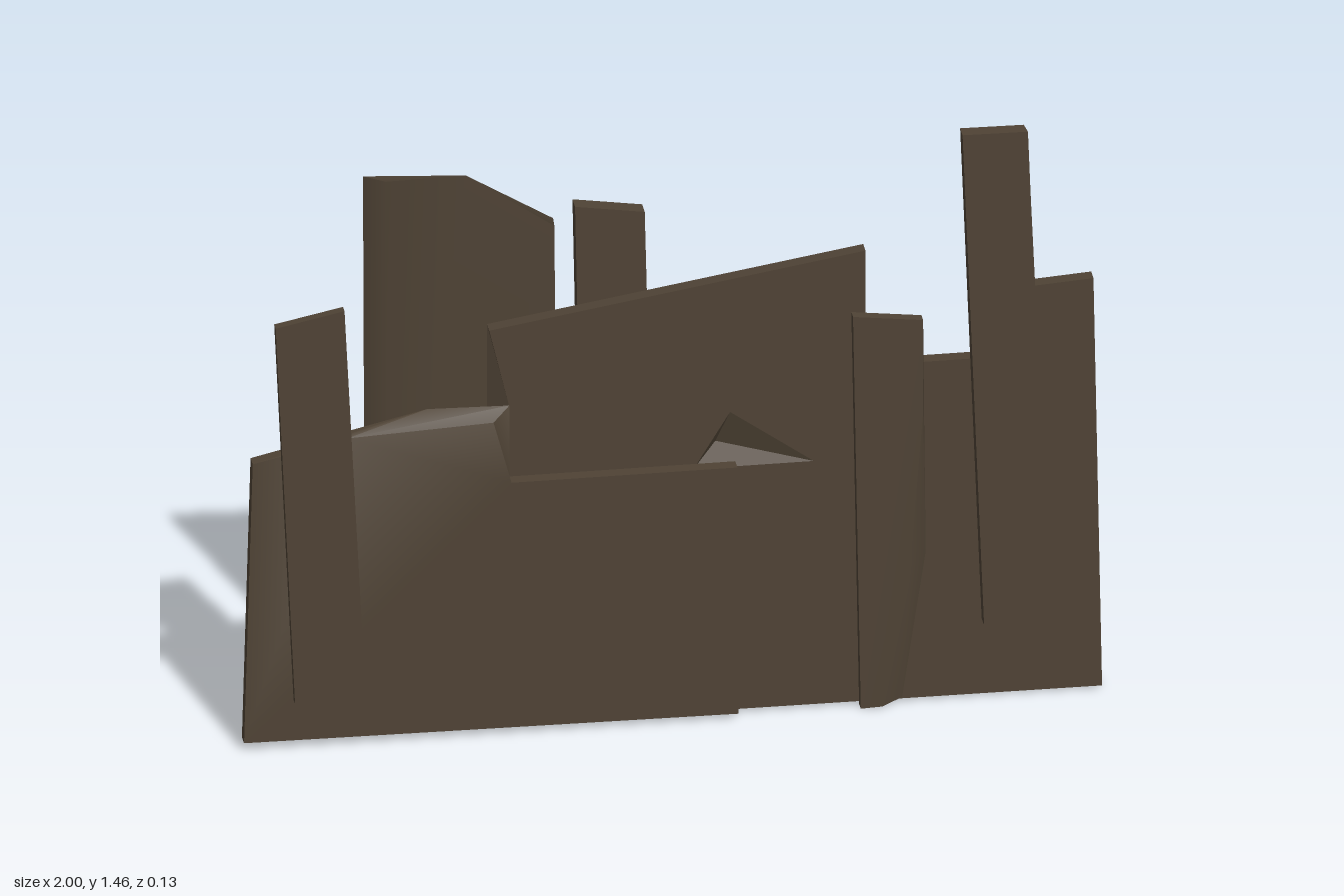
import * as THREE from 'three';
import { toCreasedNormals } from 'three/addons/utils/BufferGeometryUtils.js';

const wood = new THREE.MeshStandardMaterial({ color: 0x4f4335 });
wood.name = 'darkWood';

// Plank from matching front and back outlines (clockwise as seen from +z),
// so that corners can be chipped on one face only. A dent is a sunken triangle in the front.
function plank(name, zFront, zBack, front, back = front, { crease = 1, dent = null } = {}) {
  const pos = [];
  const v = ([x, y], z) => [x, y, z];
  const tri = (a, b, c) => pos.push(...a, ...b, ...c);
  const vecs = (pts) => pts.map(([x, y]) => new THREE.Vector2(x, y));
  const cap = (pts, z, faceFront, hole) => {
    const all = hole ? [...pts, ...hole] : pts;
    for (const f of THREE.ShapeUtils.triangulateShape(vecs(pts), hole ? [vecs(hole)] : [])) {
      let [a, b, c] = f.map((i) => all[i]);
      const ccw = (b[0] - a[0]) * (c[1] - a[1]) - (b[1] - a[1]) * (c[0] - a[0]) > 0;
      if (ccw !== faceFront) [b, c] = [c, b];
      tri(v(a, z), v(b, z), v(c, z));
    }
  };
  cap(front, zFront, true, dent && dent.rim);
  cap(back, zBack, false);
  // edges
  front.forEach((p, i) => {
    const j = (i + 1) % front.length;
    const a = v(p, zFront), b = v(front[j], zFront);
    const c = v(back[j], zBack), d = v(back[i], zBack);
    tri(a, b, c);
    tri(a, c, d);
  });
  // sunken faces of the dent, rim counter-clockwise
  if (dent) {
    dent.rim.forEach((p, i) => {
      const q = dent.rim[(i + 1) % dent.rim.length];
      tri(v(p, zFront), v(q, zFront), v(dent.tip, dent.tipZ));
    });
  }
  const geo = new THREE.BufferGeometry();
  geo.setAttribute('position', new THREE.Float32BufferAttribute(pos, 3));
  const mesh = new THREE.Mesh(toCreasedNormals(geo, crease), wood);
  mesh.name = name;
  return mesh;
}

export function createModel() {
  const group = new THREE.Group();
  group.name = 'plankBarricade';

  // wide middle sheet with a notched top, a chipped left edge and a gouge
  const panelTop = [[-0.425, 1.02], [0.45, 1.16], [0.45, 0.865], [0.83, 0.865], [0.83, 1.04], [0.98, 1.05],
    [1, 0.005], [-0.42, 0.01]];
  group.add(plank('mainPanel', 0.01, -0.025,
    [...panelTop, [-0.38, 0.62], [-0.38, 0.83]],
    [...panelTop, [-0.425, 0.62], [-0.425, 0.83]],
    { crease: 0.2, dent: { rim: [[0.33, 0.63], [0.135, 0.77], [0.05, 0.63]], tip: [0.105, 0.685], tipZ: -0.018 } }));

  // low front sheet with a splintered upper edge
  const lowerRest = [[-0.378, 0.643], [0.147, 0.643], [0.15, 0.012], [-1, 0.022]];
  group.add(plank('lowerPanel', 0.043, 0.01,
    [[-0.98, 0.735], [-0.76, 0.785], [-0.42, 0.8], ...lowerRest],
    [[-0.98, 0.735], [-0.57, 0.83], [-0.378, 0.825], ...lowerRest]));

  // planks nailed to the front
  group.add(plank('leftFrontPlank', 0.066, 0.043,
    [[-0.93, 1.09], [-0.77, 1.123], [-0.72, 0.122], [-0.885, 0.125]]));
  group.add(plank('shortFrontPlank', 0.036, 0.01,
    [[0.417, 1.005], [0.58, 0.985], [0.58, 0.75], [0.55, 0.36], [0.485, 0.002], [0.435, 0]],
    [[0.417, 1.005], [0.58, 0.985], [0.586, 0.75], [0.59, 0.38], [0.535, 0.01], [0.435, 0]]));
  group.add(plank('tallFrontPlank', 0.047, 0.01,
    [[0.67, 1.457], [0.822, 1.455], [0.828, 1.3], [0.845, 0.92], [0.88, 0.195], [0.72, 0.198]],
    [[0.67, 1.457], [0.818, 1.455], [0.785, 1.32], [0.815, 0.92], [0.88, 0.195], [0.72, 0.198]]));

  // planks nailed to the back
  group.add(plank('wideBackPlank', -0.025, -0.065,
    [[-0.66, 1.402], [-0.475, 1.405], [-0.268, 1.26], [-0.26, 0.022], [-0.655, 0.022]],
    [[-0.707, 1.4], [-0.475, 1.385], [-0.265, 1.26], [-0.255, 0.022], [-0.702, 0.022]]));
  group.add(plank('narrowBackPlank', -0.025, -0.065,
    [[-0.22, 1.305], [-0.058, 1.28], [-0.035, 0.315], [-0.2, 0.315]],
    [[-0.22, 1.305], [-0.058, 1.28], [-0.035, 0.3], [-0.2, 0.3]]));

  return group;
}
